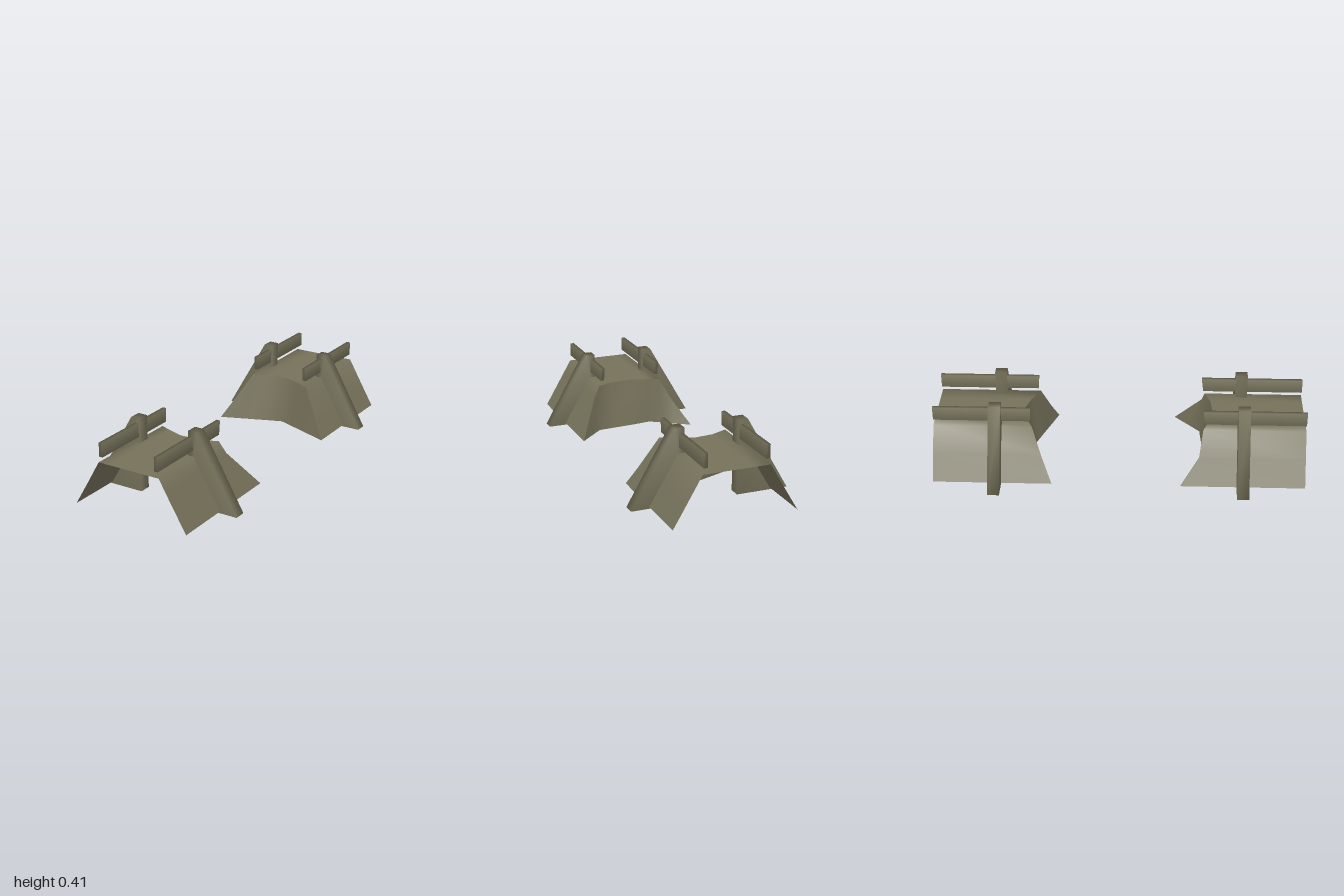
import * as THREE from 'three';
import { mergeVertices } from 'three/addons/utils/BufferGeometryUtils.js';

const stone = new THREE.MeshStandardMaterial({ color: 0x75715a, side: THREE.DoubleSide });
stone.name = 'weathered stone';

// Weld corners so that the shading flows softly round the solid
function soften(geometry) {
  geometry.deleteAttribute('normal');
  geometry.deleteAttribute('uv');
  const welded = mergeVertices(geometry, 1e-4);
  welded.computeVertexNormals();
  return welded;
}

// Skin stretched between two rows of points
function skin(rowA, rowB) {
  const n = rowA.length, index = [];
  for (let i = 0; i < n - 1; i++) index.push(i, i + 1, n + i, i + 1, n + i + 1, n + i);
  const geometry = new THREE.BufferGeometry();
  geometry.setAttribute('position', new THREE.Float32BufferAttribute([...rowA, ...rowB].flat(), 3));
  geometry.setIndex(index);
  geometry.computeVertexNormals();
  return geometry;
}

function add(group, name, geometry) {
  const mesh = new THREE.Mesh(geometry, stone);
  mesh.name = name;
  group.add(mesh);
  return mesh;
}

// Buttress: sloped outside, upright inside
function buttressGeometry(side) {
  const shape = new THREE.Shape([[0.148, 0], [0.433, 0], [0.2, 0.406], [0.148, 0.406]]
    .map(([x, y]) => new THREE.Vector2(x * side, y)));
  const geometry = new THREE.ExtrudeGeometry(shape, { depth: 0.064, bevelEnabled: false });
  return soften(geometry.translate(0, 0, -0.032));
}

// One half of the broken bridge: rim = broken upper edge, base = [x, z] foot of the broken wall
function bridgeHalf(name, end, rim, base, railEnds) {
  const half = new THREE.Group();
  half.name = name;
  add(half, 'deck', skin(rim.map(([x, y]) => [x, y, end]), rim));
  add(half, 'brokenWall', skin(rim, base.map(([x, z]) => [x, 0.01, z])));
  for (const side of [-1, 1]) {
    const label = side > 0 ? 'left' : 'right';
    add(half, label + 'Buttress', buttressGeometry(side)).position.z = end * 0.665;
    const [top, bottom] = railEnds[side > 0 ? 1 : 0];
    const rail = new THREE.BoxGeometry(0.021, 0.075, 1);
    const p = rail.attributes.position;
    // Run the rail from the outer end to its slanted broken tip
    for (let i = 0; i < p.count; i++) {
      const tip = p.getY(i) > 0 ? top : bottom;
      p.setZ(i, p.getZ(i) * end > 0 ? end : tip * end);
    }
    add(half, label + 'Rail', soften(rail)).position.set(side * 0.1655, 0.3425, 0);
  }
  return half;
}

export function createModel() {
  const model = new THREE.Group();
  model.name = 'brokenBridge';
  model.add(bridgeHalf('frontHalf', 1,
    [[0.335, 0.01, 0.305], [0.217, 0.21, 0.45], [0.181, 0.273, 0.465], [0.1, 0.273, 0.495], [-0.03, 0.273, 0.505],
      [-0.12, 0.273, 0.475], [-0.181, 0.273, 0.45], [-0.255, 0.145, 0.43], [-0.335, 0.01, 0.33]],
    [[0.335, 0.305], [0.25, 0.387], [0.19, 0.444], [0.1, 0.45], [-0.03, 0.46],
      [-0.13, 0.472], [-0.2, 0.425], [-0.26, 0.38], [-0.335, 0.33]],
    [[0.45, 0.455], [0.445, 0.455]]));
  model.add(bridgeHalf('backHalf', -1,
    [[-0.335, 0.01, -0.36], [-0.255, 0.145, -0.42], [-0.181, 0.273, -0.47], [-0.09, 0.273, -0.51], [0.01, 0.273, -0.52],
      [0.09, 0.273, -0.495], [0.181, 0.273, -0.45], [0.28, 0.103, -0.4], [0.335, 0.01, -0.365]],
    [[-0.335, -0.36], [-0.25, -0.393], [-0.17, -0.424], [-0.085, -0.457], [0.005, -0.49],
      [0.085, -0.46], [0.17, -0.428], [0.25, -0.397], [0.335, -0.365]],
    [[0.475, 0.48], [0.455, 0.46]]));
  return model;
}
